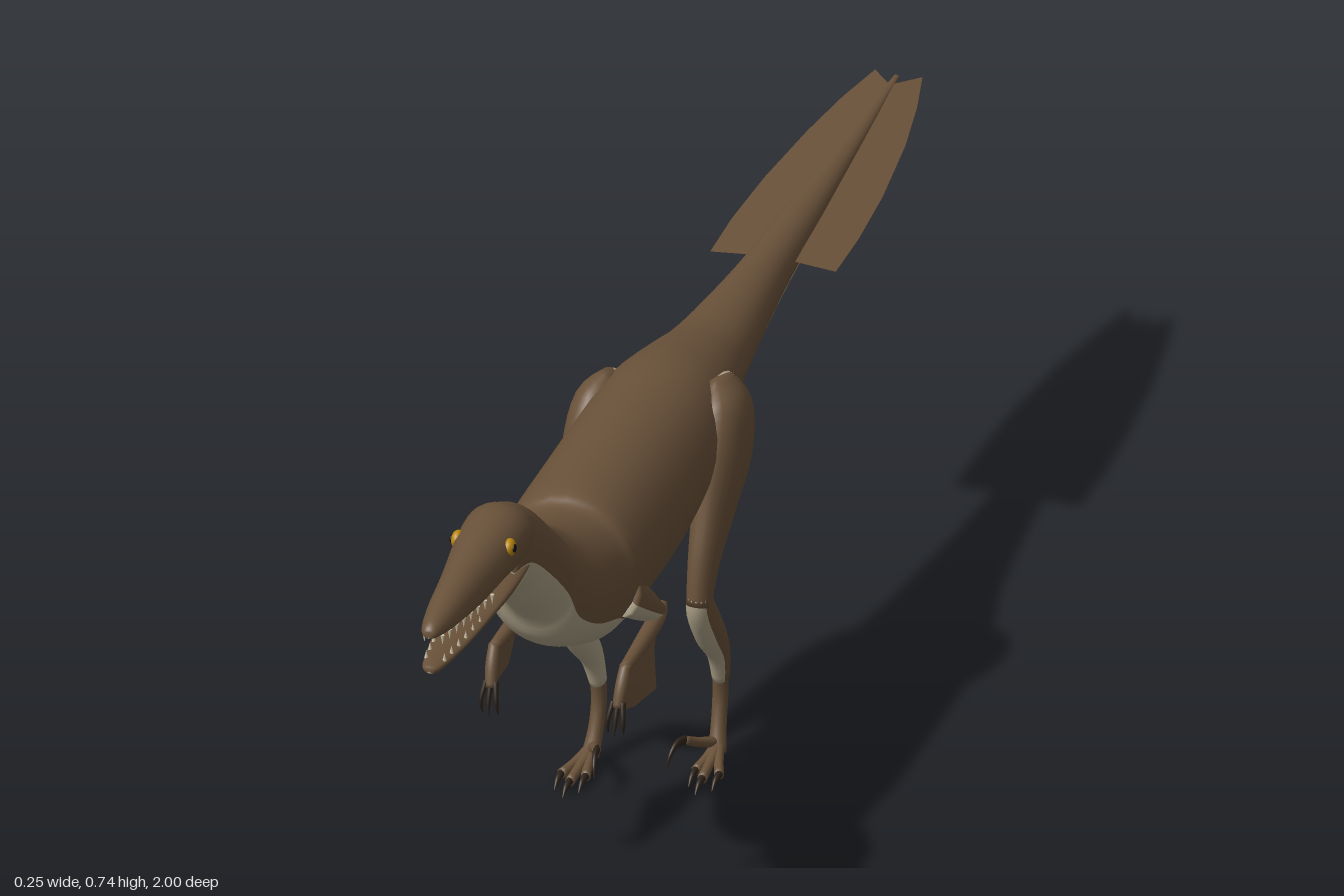
import * as THREE from 'three';

const mat = (name, color, extra = {}) => Object.assign(new THREE.MeshStandardMaterial({ color, ...extra }), { name });
const brown = mat('brown plumage', 0x6a523a);
const feather = mat('brown feathers', 0x6a523a, { side: THREE.DoubleSide });
const tan = mat('pale underside', 0xb0a48a);
const dark = mat('claw', 0x2e241b);
const gold = mat('eye gold', 0xb8860b);
const black = mat('pupil', 0x0c0a08);
const ivory = mat('tooth', 0xcfc4a8);

// Catmull-Rom resampling of rows of numbers
function smooth(rows, n) {
  const out = [], at = i => rows[Math.min(rows.length - 1, Math.max(0, i))];
  for (let i = 0; i < rows.length - 1; i++) {
    for (let k = 0; k < n; k++) {
      const t = k / n, [a, b, c, d] = [at(i - 1), at(i), at(i + 1), at(i + 2)];
      out.push(b.map((_, j) => b[j] + 0.5 * t * (c[j] - a[j] + t * (2 * a[j] - 5 * b[j] + 4 * c[j] - d[j]
        + t * (3 * (b[j] - c[j]) + d[j] - a[j])))));
    }
  }
  out.push(rows[rows.length - 1]);
  return out;
}

// Skin over rings of points; the first `split` columns are brown, the others pale
function skin(name, rings, split, mats, s = 1) {
  const n = rings[0].length, pos = [], parts = [[], []];
  rings.forEach(r => r.forEach(p => pos.push(p.x * s, p.y, p.z)));
  const tri = (g, a, b, c) => parts[g].push(...(s > 0 ? [a, b, c] : [a, c, b]));
  for (let i = 0; i < rings.length - 1; i++) {
    for (let j = 0; j < n; j++) {
      const a = i * n + j, b = i * n + (j + 1) % n, g = j < split ? 0 : 1;
      tri(g, a, a + n, b);
      tri(g, b, a + n, b + n);
    }
  }
  // end caps
  [0, rings.length - 1].forEach((i, end) => {
    const m = rings[i].reduce((v, p) => v.add(p), new THREE.Vector3()).divideScalar(n);
    pos.push(m.x * s, m.y, m.z);
    const c = pos.length / 3 - 1;
    for (let j = 0; j < n; j++) {
      const a = i * n + j, b = i * n + (j + 1) % n;
      end ? tri(j < split ? 0 : 1, c, b, a) : tri(j < split ? 0 : 1, c, a, b);
    }
  });
  const geo = new THREE.BufferGeometry();
  geo.setAttribute('position', new THREE.Float32BufferAttribute(pos, 3));
  geo.setIndex([...parts[0], ...parts[1]]);
  geo.addGroup(0, parts[0].length, 0);
  geo.addGroup(parts[0].length, parts[1].length, 1);
  geo.computeVertexNormals();
  const mesh = new THREE.Mesh(geo, mats);
  mesh.name = name;
  return mesh;
}

// Trunk rows, front to back: z, top, bottom, half width, height of widest point, height of colour line
function trunk(name, rows, mats = [brown, tan]) {
  const U = 18, L = 14;
  const rings = smooth(rows, 4).map(([z, top, bot, w, mid, line]) => {
    const h = line > mid ? top - mid : mid - bot;
    const p = Math.asin(THREE.MathUtils.clamp((line - mid) / h, -0.97, 0.97));
    return Array.from({ length: U + L }, (_, j) => {
      const a = j < U ? p + (Math.PI - 2 * p) * j / U : Math.PI - p + (Math.PI + 2 * p) * (j - U) / L;
      const sn = Math.sin(a);
      return new THREE.Vector3(w * Math.cos(a), mid + (sn > 0 ? top - mid : mid - bot) * sn, z);
    });
  });
  return skin(name, rings, U, mats);
}

// Limb rows: x, y, z, sideways radius, fore-aft radius; pale arc begins at angle a0 and spans `arc`
function limb(name, rows, s, mats = [brown, brown], a0 = 0, arc = Math.PI, n = 12) {
  const pts = smooth(rows, 4), h = n / 2, X = new THREE.Vector3(1, 0, 0);
  const rings = pts.map((p, i) => {
    const a = pts[Math.max(0, i - 1)], b = pts[Math.min(pts.length - 1, i + 1)];
    const t = new THREE.Vector3(b[0] - a[0], b[1] - a[1], b[2] - a[2]).normalize();
    const v = X.clone().cross(t).normalize(), u = t.clone().cross(v);
    return Array.from({ length: n }, (_, j) => {
      const q = j < h ? a0 + arc + (2 * Math.PI - arc) * j / h : a0 + arc * (j - h) / h;
      return new THREE.Vector3(p[0], p[1], p[2]).addScaledVector(u, p[3] * Math.cos(q)).addScaledVector(v, p[4] * Math.sin(q));
    });
  });
  return skin(name, rings, h, mats, s);
}

// Thin feather vane from an outline of corners
function vane(name, pts, s) {
  const geo = new THREE.BufferGeometry(), idx = [];
  geo.setAttribute('position', new THREE.Float32BufferAttribute(pts.flatMap(p => [p[0] * s, p[1], p[2]]), 3));
  for (let i = 1; i < pts.length - 1; i++) idx.push(...(s > 0 ? [0, i, i + 1] : [0, i + 1, i]));
  geo.setIndex(idx);
  geo.computeVertexNormals();
  const m = new THREE.Mesh(geo, feather);
  m.name = name;
  return m;
}

function cone(name, r, h, p, rx, material) {
  const m = new THREE.Mesh(new THREE.ConeGeometry(r, h, 6), material);
  m.name = name;
  m.position.set(...p);
  m.rotation.x = rx;
  return m;
}

export function createModel() {
  const g = new THREE.Group();
  g.name = 'featheredRaptor';

  // neck, body and tail
  g.add(trunk('body', [
    [0.735, 0.735, 0.628, 0.038, 0.685, 0.66], [0.69, 0.738, 0.612, 0.046, 0.68, 0.655],
    [0.63, 0.708, 0.553, 0.05, 0.64, 0.61], [0.565, 0.65, 0.495, 0.058, 0.575, 0.545],
    [0.54, 0.632, 0.452, 0.07, 0.54, 0.497], [0.5, 0.61, 0.42, 0.085, 0.51, 0.467],
    [0.43, 0.595, 0.386, 0.094, 0.5, 0.44], [0.39, 0.608, 0.375, 0.1, 0.5, 0.425],
    [0.25, 0.61, 0.368, 0.102, 0.495, 0.42], [0.12, 0.61, 0.378, 0.1, 0.5, 0.43],
    [0, 0.608, 0.415, 0.092, 0.515, 0.47], [-0.1, 0.587, 0.443, 0.075, 0.52, 0.487],
    [-0.2, 0.566, 0.456, 0.058, 0.515, 0.495], [-0.4, 0.553, 0.472, 0.037, 0.515, 0.503],
    [-0.6, 0.545, 0.49, 0.027, 0.52, 0.513], [-0.8, 0.537, 0.508, 0.016, 0.524, 0.52],
    [-0.99, 0.531, 0.525, 0.004, 0.528, 0.527],
  ]));

  // head
  g.add(trunk('skull', [
    [1, 0.7, 0.69, 0.006, 0.695, 0.69], [0.988, 0.71, 0.686, 0.014, 0.695, 0.687],
    [0.94, 0.72, 0.677, 0.024, 0.692, 0.68], [0.85, 0.733, 0.663, 0.034, 0.69, 0.666],
    [0.77, 0.743, 0.656, 0.043, 0.7, 0.668], [0.7, 0.744, 0.645, 0.047, 0.7, 0.668],
    [0.65, 0.715, 0.65, 0.038, 0.69, 0.66],
  ]));
  g.add(trunk('lowerJaw', [
    [0.996, 0.643, 0.634, 0.006, 0.639, 0.635], [0.98, 0.646, 0.63, 0.015, 0.639, 0.632],
    [0.9, 0.647, 0.628, 0.027, 0.64, 0.631], [0.8, 0.654, 0.626, 0.037, 0.645, 0.635],
    [0.72, 0.665, 0.62, 0.043, 0.65, 0.65], [0.68, 0.66, 0.62, 0.04, 0.65, 0.65],
  ]));

  for (const s of [1, -1]) {
    const side = s > 0 ? 'left' : 'right';

    // eyes
    const eye = new THREE.Mesh(new THREE.SphereGeometry(0.013, 16, 12), gold);
    eye.name = side + 'Eye';
    eye.position.set(s * 0.037, 0.716, 0.765);
    eye.scale.x = 0.7;
    const pupil = new THREE.Mesh(new THREE.SphereGeometry(0.006, 12, 8), black);
    pupil.name = side + 'Pupil';
    pupil.position.set(s * 0.045, 0.717, 0.767);
    pupil.scale.x = 0.4;
    g.add(eye, pupil);

    // teeth
    for (let i = 0; i < 8; i++) {
      const z = 0.978 - i * 0.023, w = 0.013 + i * 0.0024;
      g.add(cone('upperTooth', 0.003, 0.015, [s * w, 0.679 - i * 0.0025, z], Math.PI, ivory));
      if (i < 6) g.add(cone('lowerTooth', 0.003, 0.012, [s * w, 0.649, z - 0.008], 0, ivory));
    }

    // legs, the right one a step ahead
    const d = s > 0 ? 0 : 0.065;
    g.add(limb(side + 'Thigh', [
      [0.07, 0.575, -0.03 + d * 0.5, 0.012, 0.03], [0.08, 0.54, -0.02 + d * 0.6, 0.036, 0.06],
      [0.085, 0.48, 0.005 + d * 0.7, 0.039, 0.066], [0.086, 0.41, 0.045 + d * 0.8, 0.028, 0.05],
      [0.085, 0.35, 0.08 + d * 0.9, 0.021, 0.033], [0.084, 0.29, 0.1 + d, 0.017, 0.02],
    ], s, [brown, tan], 0.7, 2.6, 24));
    g.add(limb(side + 'Shin', [
      [0.085, 0.335, 0.09 + d, 0.012, 0.018], [0.084, 0.29, 0.095 + d, 0.019, 0.023],
      [0.083, 0.23, 0.055 + d, 0.021, 0.026], [0.08, 0.17, 0.005 + d, 0.016, 0.019],
      [0.077, 0.12, -0.015 + d, 0.012, 0.015],
    ], s, [brown, tan], 2.5, 3.1, 16));
    g.add(limb(side + 'Foot', [
      [0.077, 0.135, -0.013 + d, 0.011, 0.014], [0.076, 0.09, -0.016 + d, 0.011, 0.012],
      [0.077, 0.05, -0.006 + d, 0.011, 0.012], [0.08, 0.015, 0.01 + d, 0.013, 0.012],
    ], s));

    // toes with claws
    for (const [x, len] of [[0.068, 0.06], [0.084, 0.08], [0.102, 0.062]]) {
      const z = 0.005 + d;
      g.add(limb(side + 'Toe', [
        [0.08, 0.024, z, 0.01, 0.01], [(0.08 + x) / 2, 0.018, z + len * 0.5, 0.007, 0.007],
        [x, 0.013, z + len, 0.007, 0.008],
      ], s));
      g.add(limb(side + 'ToeClaw', [
        [x, 0.014, z + len - 0.004, 0.005, 0.006], [x, 0.013, z + len + 0.015, 0.004, 0.005],
        [x, 0.003, z + len + 0.03, 0.001, 0.001],
      ], s, [dark, dark]));
    }
    // raised sickle claw
    g.add(limb(side + 'SickleToe', [
      [0.075, 0.03, 0.01 + d, 0.008, 0.008], [0.062, 0.043, 0.04 + d, 0.007, 0.007],
      [0.052, 0.058, 0.066 + d, 0.006, 0.006],
    ], s));
    g.add(limb(side + 'SickleClaw', [
      [0.053, 0.056, 0.062 + d, 0.005, 0.007], [0.048, 0.061, 0.083 + d, 0.004, 0.006],
      [0.044, 0.052, 0.1 + d, 0.003, 0.004], [0.041, 0.035, 0.106 + d, 0.001, 0.001],
    ], s, [dark, dark]));

    // arms
    g.add(limb(side + 'UpperArm', [
      [0.08, 0.46, 0.4, 0.02, 0.03], [0.086, 0.42, 0.345, 0.018, 0.024], [0.088, 0.375, 0.28, 0.011, 0.012],
    ], s, [brown, tan], 2.8, 3.1));
    g.add(limb(side + 'Forearm', [
      [0.088, 0.385, 0.27, 0.008, 0.008], [0.089, 0.372, 0.29, 0.012, 0.012],
      [0.092, 0.37, 0.37, 0.011, 0.011], [0.094, 0.372, 0.445, 0.008, 0.008],
    ], s));
    g.add(limb(side + 'Hand', [
      [0.094, 0.376, 0.44, 0.008, 0.008], [0.093, 0.35, 0.455, 0.009, 0.009], [0.091, 0.322, 0.465, 0.008, 0.008],
    ], s));
    for (const k of [-1, 0, 1]) {
      g.add(limb(side + 'HandClaw', [
        [0.091 + k * 0.007, 0.33, 0.464, 0.004, 0.005], [0.091 + k * 0.011, 0.305, 0.474, 0.003, 0.004],
        [0.09 + k * 0.011, 0.285, 0.478 - Math.abs(k) * 0.008, 0.001, 0.001],
      ], s, [dark, dark]));
    }
    // wing and tail vanes
    g.add(vane(side + 'WingVane', [
      [0.094, 0.372, 0.45], [0.09, 0.37, 0.29], [0.098, 0.345, 0.33],
      [0.106, 0.292, 0.345], [0.1, 0.302, 0.42], [0.091, 0.315, 0.465],
    ], s));
    g.add(vane(side + 'TailVane', [
      [0, 0.525, -0.46], [0.09, 0.514, -0.465], [0.091, 0.516, -0.56], [0.085, 0.518, -0.68],
      [0.07, 0.521, -0.82], [0.053, 0.525, -0.92], [0.034, 0.528, -1], [0.003, 0.53, -0.965],
    ], s));
  }
  return g;
}
